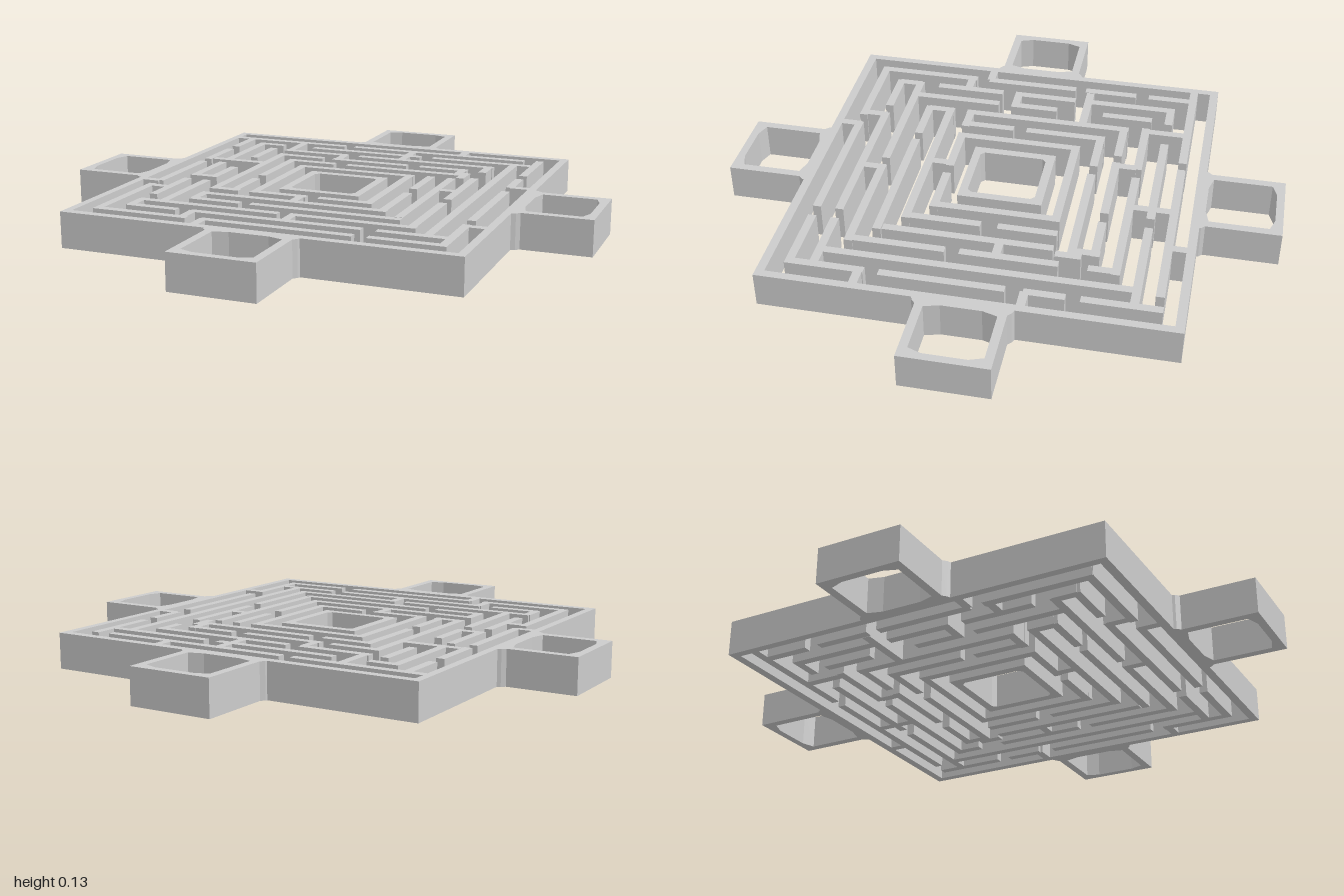
import * as THREE from 'three';

const HEIGHT = 0.128;
const WALL = 0.03;
const material = new THREE.MeshStandardMaterial({ color: 0xcccccc, flatShading: true });

// Horizontal wall runs: [z, from x, to x, from x, to x, ...] in hundredths
const ACROSS = [
  [-62.3, -69, -20, -16, 55],
  [-54.5, -55, -44, -31, 15, 20, 62],
  [-46.5, -40, -13, -8, 47],
  [-38.3, -39, -20, -16, 15, 20, 39],
  [-30.4, -31, -12, -7, 39],
  [-22.2, -60, -38, -23.5, 23],
  [21.4, -39, -28, -23.5, -2, 2.5, 23],
  [29.6, -39, 31],
  [37.8, -39, -20, -16, 39],
  [45.7, -55, -2, 2, 47],
  [53.6, -55, -36, -31, 31, 36, 61],
  [61.8, -63, -28, -23, 31, 36, 62.5],
];

// Walls running front to back: [x, from z, to z, ...] in hundredths
const ALONG = [
  [-61.8, -61, -45, -40, -20, -16, 19, 24, 63],
  [-53.9, -56, -22, -17, 7, 12, 38],
  [-46, -48, -29, -11, 7, 12, 46],
  [-37.8, -40, 23, 28, 38],
  [-30, -32, -2, 3, 23],
  [-22, -23.5, 23],
  [21.4, -23.5, 23],
  [29.3, -24, -3, 3, 31],
  [37.3, -40, -29, -24, 36],
  [40, -34, -25],
  [45.2, -48, -37, -27, 7, 12, 47],
  [53.1, -56, 53.5],
  [61, -64, -37, -32, -18, -12, 31, 36, 63],
];

// Short links between neighbouring rings
const LINKS_ACROSS = [
  [37.8, 60, 70], [-18.5, 61, 69], [18.5, -70, -62],
  [26, -62, -54], [5.5, -54, -45], [-5.5, 37, 45],
];
const LINKS_ALONG = [
  [29.5, -70, -62], [-22, 61, 70], [-38, -62, -46], [9.5, -62, -46],
  [-14, -46, -38], [-30, 53, 63], [3.5, 45, 54], [-53.9, 45, 54], [-4, 21, 30],
];

const points = list => list.map(([x, y]) => new THREE.Vector2(x, y));

// Upright frame from a plan outline (x, z) with one opening
function frame(name, outline, opening) {
  const shape = new THREE.Shape(points(outline));
  shape.holes.push(new THREE.Path(points(opening)));
  const geometry = new THREE.ExtrudeGeometry(shape, { depth: HEIGHT, bevelEnabled: false });
  geometry.rotateX(Math.PI / 2).translate(0, HEIGHT, 0);
  const mesh = new THREE.Mesh(geometry, material);
  mesh.name = name;
  return mesh;
}

const rect = (x0, z0, x1, z1) => [[x0, z0], [x1, z0], [x1, z1], [x0, z1]];

// Rectangle with clipped corners
const clipped = (x0, z0, x1, z1, c) => [
  [x0 + c, z0], [x1 - c, z0], [x1, z0 + c], [x1, z1 - c],
  [x1 - c, z1], [x0 + c, z1], [x0, z1 - c], [x0, z0 + c],
];

// Straight walls along one direction
function walls(name, rows, alongZ) {
  const group = new THREE.Group();
  group.name = name;
  for (const [line, ...ends] of rows) {
    for (let i = 0; i < ends.length; i += 2) {
      const length = (ends[i + 1] - ends[i]) / 100;
      const middle = (ends[i + 1] + ends[i]) / 200;
      const mesh = new THREE.Mesh(
        new THREE.BoxGeometry(alongZ ? WALL : length, HEIGHT, alongZ ? length : WALL), material);
      mesh.position.set(alongZ ? line / 100 : middle, HEIGHT / 2, alongZ ? middle : line / 100);
      mesh.name = 'mazeWall';
      group.add(mesh);
    }
  }
  return group;
}

// Open chamber with bowed ends, projecting from the outer wall toward +z
function chamber(name, reach, angle) {
  const half = 0.153, inner = 0.123;
  const mesh = frame(name,
    [[-0.175, 0.7], [0.175, 0.7], [0.165, 0.722], [half, 0.735],
      [half, reach], [-half, reach], [-half, 0.735], [-0.165, 0.722]],
    [[-inner, 0.745], [-0.07, 0.73], [0.07, 0.73], [inner, 0.745],
      [inner, reach - 0.045], [0.075, reach - 0.028], [-0.075, reach - 0.028], [-inner, reach - 0.045]]);
  mesh.rotation.y = angle;
  return mesh;
}

export function createModel() {
  const model = new THREE.Group();
  model.name = 'maze';

  model.add(frame('outerWall',
    rect(-0.71, -0.716, 0.707, 0.713), rect(-0.682, -0.685, 0.678, 0.682)));
  model.add(frame('centreChamber',
    rect(-0.155, -0.158, 0.15, 0.147), clipped(-0.124, -0.127, 0.12, 0.118, 0.014)));

  model.add(walls('crossWalls', ACROSS, false));
  model.add(walls('lengthWalls', ALONG, true));
  model.add(walls('crossLinks', LINKS_ACROSS, false));
  model.add(walls('lengthLinks', LINKS_ALONG, true));

  model.add(chamber('frontChamber', 1, 0));
  model.add(chamber('leftChamber', 0.983, Math.PI / 2));
  model.add(chamber('backChamber', 1, Math.PI));
  model.add(chamber('rightChamber', 0.985, -Math.PI / 2));
  return model;
}
